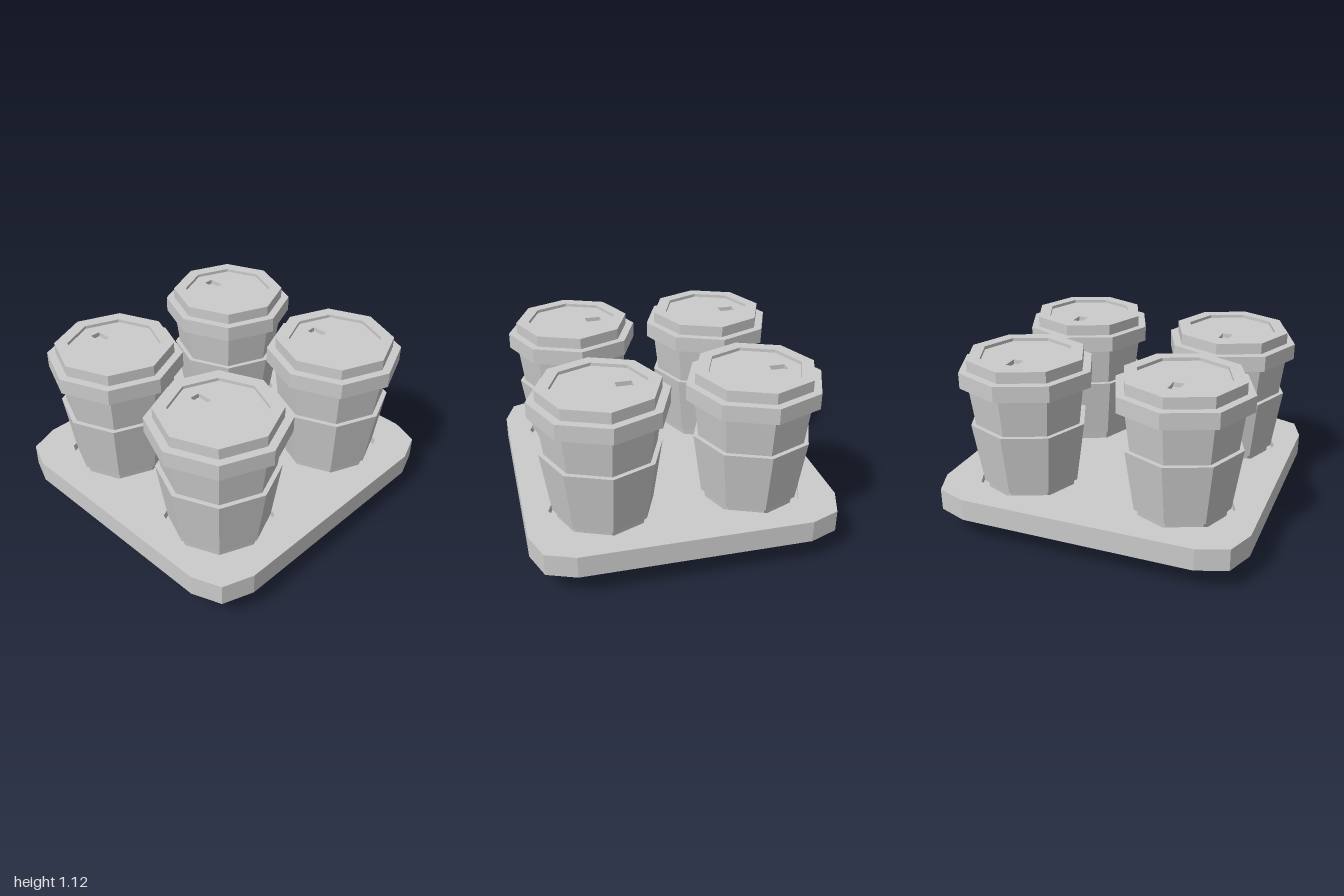
import * as THREE from 'three';

const material = new THREE.MeshStandardMaterial({ color: 0xcccccc, flatShading: true });
const cups = [[0.505, 0.47], [-0.53, 0.47], [-0.505, -0.47], [0.505, -0.47]];
const V2 = (p) => new THREE.Vector2(p[0], p[1]);

function mesh(name, geometry) {
  const m = new THREE.Mesh(geometry, material);
  m.name = name;
  return m;
}

// Eight-sided turned part, from [radius, height] pairs
const turned = (name, profile) => mesh(name, new THREE.LatheGeometry(profile.map(V2), 8));

// Horizontal plate from an outline in (x, -z) with optional holes
function plate(name, outline, y, thickness, holes = []) {
  const shape = new THREE.Shape(outline.map(V2));
  for (const h of holes) shape.holes.push(new THREE.Path(h.map(V2)));
  const g = new THREE.ExtrudeGeometry(shape, { depth: thickness, bevelEnabled: false });
  return mesh(name, g.rotateX(-Math.PI / 2).translate(0, y, 0));
}

// Points of an octagon, from step a to step b (45 degrees each)
function octagon(r, a = 0, b = 7, cx = 0, cy = 0) {
  const pts = [];
  for (let i = a; i <= b; i++) {
    pts.push([cx + r * Math.cos(i * Math.PI / 4), cy + r * Math.sin(i * Math.PI / 4)]);
  }
  return pts;
}

function makeCup() {
  const cup = new THREE.Group();
  cup.name = 'cup';
  cup.add(turned('cupBody', [[0, 0.035], [0.218, 0.035], [0.222, 0], [0.257, 0], [0.374, 0.95]]));
  cup.add(turned('sleeve', [[0.29, 0.305], [0.315, 0.305], [0.374, 0.7], [0.34, 0.7]]));
  cup.add(turned('lid', [[0.36, 0.95], [0.425, 0.95], [0.425, 1.05], [0.372, 1.05],
    [0.372, 1.12], [0.29, 1.12], [0.29, 1.07], [0, 1.07]]));
  // Sunken lid top with the sip opening
  const sip = [[-0.03, 0.095], [-0.03, 0.195], [0.035, 0.195], [0.035, 0.095]];
  cup.add(plate('lidTop', octagon(0.29), 1.072, 0.028, [sip]));
  return cup;
}

// Faceted underside flaring from a cup up to its quarter of the tray
function makeSkirt([cx, cz]) {
  const sx = Math.sign(cx), sz = Math.sign(cz);
  const outline = [[0.06, 0.06], [1, 0.06], [1, 0.71], [0.93, 0.89], [0.74, 0.96], [0.06, 0.96]]
    .map(([x, z]) => [x * sx - cx, z * sz - cz]);
  const angles = outline.map(([x, z]) => Math.atan2(z, x));
  for (let i = 0; i < 8; i++) angles.push(i * Math.PI / 4 - Math.PI + 1e-4);
  angles.sort((a, b) => a - b);

  // Distance along a ray from the centre to the convex outline
  const reach = (a, poly) => {
    let best = Infinity;
    poly.forEach(([x, z], i) => {
      const [x2, z2] = poly[(i + 1) % poly.length];
      const nx = z2 - z, nz = x - x2;
      const t = (x * nx + z * nz) / (Math.cos(a) * nx + Math.sin(a) * nz);
      if (t > 0) best = Math.min(best, t);
    });
    return best;
  };
  const ring = (poly, y) => angles.map((a) => {
    const r = reach(a, poly);
    return [cx + r * Math.cos(a), y, cz + r * Math.sin(a)];
  });
  const inner = ring(octagon(0.266), 0.07), outer = ring(outline, 0.16);
  const pos = [];
  inner.forEach((p, i) => {
    const j = (i + 1) % inner.length;
    pos.push(...p, ...outer[i], ...outer[j], ...p, ...outer[j], ...inner[j]);
  });
  const g = new THREE.BufferGeometry();
  g.setAttribute('position', new THREE.Float32BufferAttribute(pos, 3));
  g.computeVertexNormals();
  return mesh('trayUnderside', g);
}

export function createModel() {
  const model = new THREE.Group();
  model.name = 'cupCarrier';

  // Tray with cut corners; its centre and the cup wells are sunk
  const outline = [[1, -0.71], [1, 0.71], [0.93, 0.89], [0.74, 0.96], [-0.74, 0.96], [-0.93, 0.89],
    [-1, 0.71], [-1, -0.71], [-0.93, -0.89], [-0.74, -0.96], [0.74, -0.96], [0.93, -0.89]];
  const corners = [cups[3], cups[2], cups[1], cups[0]];
  const recess = corners.flatMap(([x, z], i) => octagon(0.34, i * 2 - 2, i * 2 + 4, x, -z));
  model.add(plate('trayBase', outline, 0.16, 0.09));
  model.add(plate('trayTop', outline, 0.25, 0.05, [recess]));

  for (const c of cups) {
    model.add(makeSkirt(c));
    const cup = makeCup();
    cup.position.set(c[0], 0, c[1]);
    model.add(cup);
  }
  return model;
}
